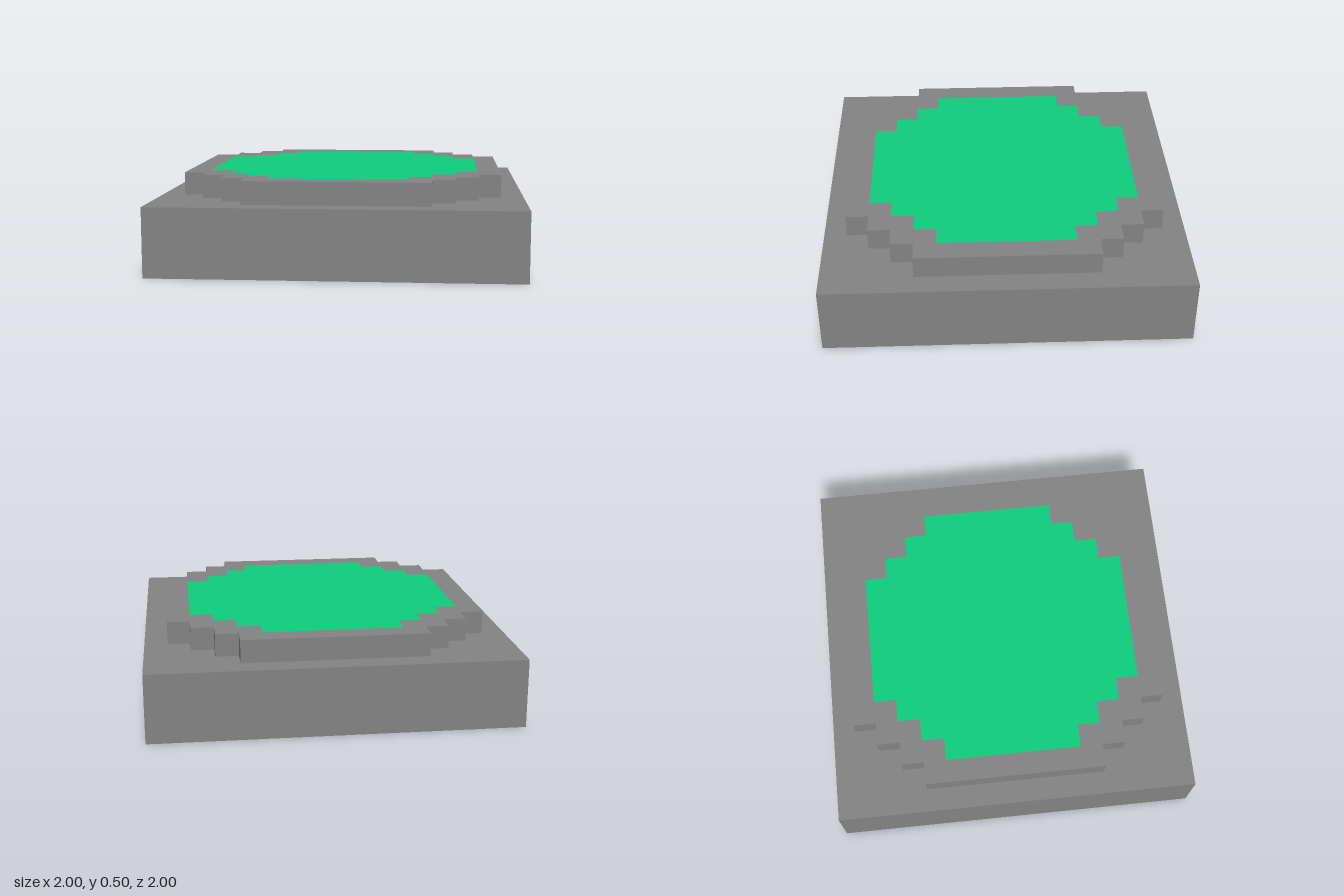
import * as THREE from 'three';

const STEP = 0.125;
const BASE_HEIGHT = 0.375;
const RIM_HEIGHT = 0.125;

// Stepped disc outline: one quarter staircase turned around four times
function steppedOutline(radius) {
  const quarter = [];
  let x = radius, y = radius - 3 * STEP;
  quarter.push([x, y]);
  for (let i = 0; i < 3; i++) {
    x -= STEP;
    quarter.push([x, y]);
    y += STEP;
    quarter.push([x, y]);
  }
  const points = [];
  for (let q = 0; q < 4; q++) {
    const c = [1, 0, -1, 0][q], s = [0, 1, 0, -1][q];
    for (const [px, py] of quarter) {
      points.push(new THREE.Vector2(px * c - py * s, px * s + py * c));
    }
  }
  return points;
}

export function createModel() {
  const model = new THREE.Group();
  model.name = 'steppedPlatform';

  const stone = new THREE.MeshStandardMaterial({ color: 0x838383 });
  stone.name = 'grey stone';
  const green = new THREE.MeshStandardMaterial({ color: 0x0ecc7e });
  green.name = 'bright green';

  function add(name, geometry, material, y) {
    const mesh = new THREE.Mesh(geometry, material);
    mesh.name = name;
    mesh.position.y = y;
    model.add(mesh);
  }

  // Square base slab
  add('base', new THREE.BoxGeometry(2, BASE_HEIGHT, 2), stone, BASE_HEIGHT / 2);

  // Raised stepped rim, open in the middle
  const rimShape = new THREE.Shape(steppedOutline(0.875));
  rimShape.holes.push(new THREE.Path(steppedOutline(0.75)));
  const rim = new THREE.ExtrudeGeometry(rimShape, { depth: RIM_HEIGHT, bevelEnabled: false });
  rim.rotateX(-Math.PI / 2);
  add('rim', rim, stone, BASE_HEIGHT);

  // Green surface flush with the top of the rim
  const surface = new THREE.ShapeGeometry(new THREE.Shape(steppedOutline(0.75)));
  surface.rotateX(-Math.PI / 2);
  add('greenSurface', surface, green, BASE_HEIGHT + RIM_HEIGHT);

  return model;
}
